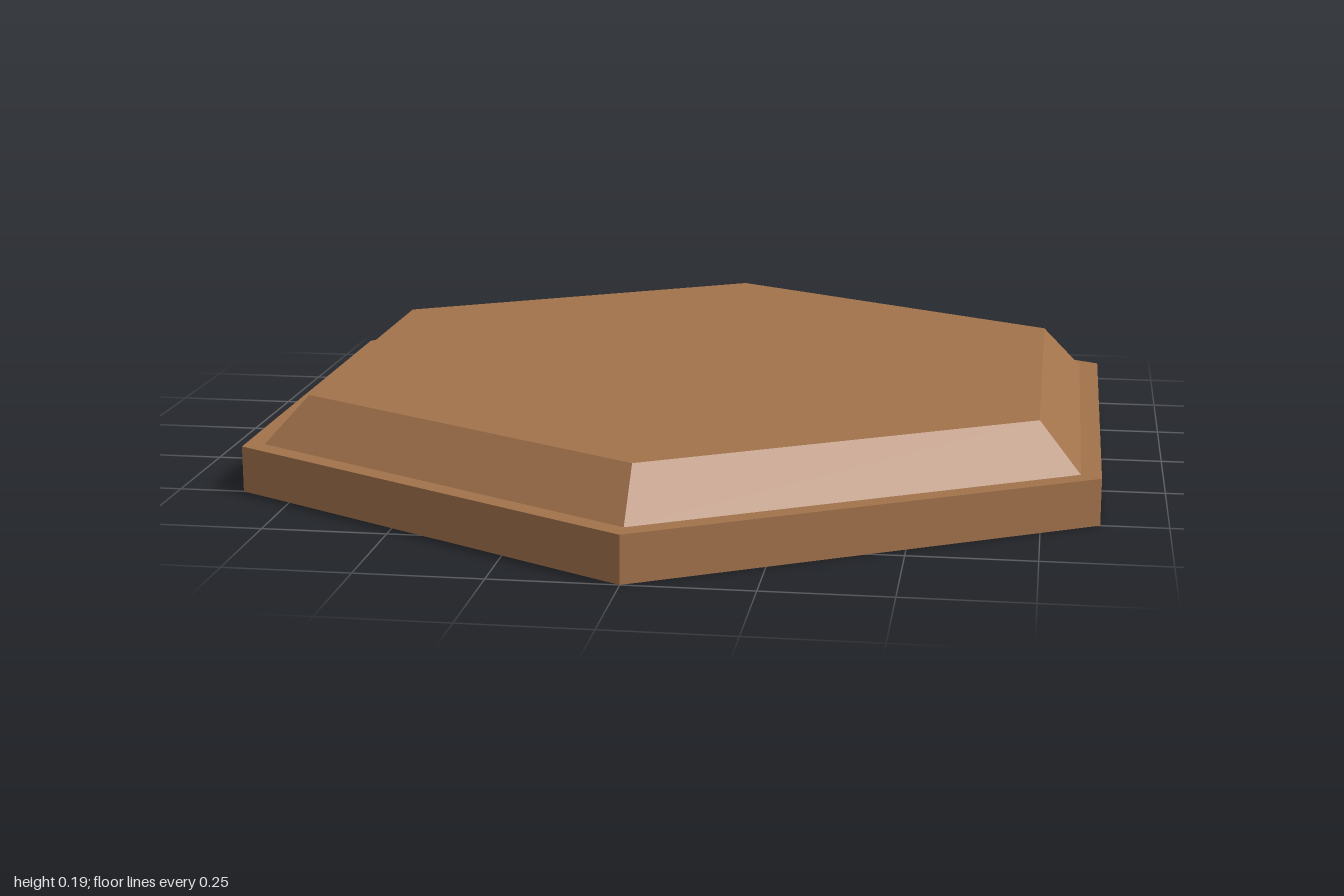
import * as THREE from 'three';

export function createModel() {
  const group = new THREE.Group();
  group.name = 'hexTile';

  const earth = new THREE.MeshStandardMaterial({ color: 0xa3734c, flatShading: true });
  earth.name = 'earth brown';

  // Six-sided slab with corners on the z axis
  function hexSlab(name, topRadius, bottomRadius, y0, y1) {
    const geometry = new THREE.CylinderGeometry(topRadius, bottomRadius, y1 - y0, 6);
    const mesh = new THREE.Mesh(geometry, earth);
    mesh.name = name;
    mesh.position.y = (y0 + y1) / 2;
    group.add(mesh);
  }

  // Straight-sided base
  hexSlab('base', 1, 1, 0, 0.095);
  // Raised top with sloping sides
  hexSlab('bevelledTop', 0.857, 0.953, 0.095, 0.19);

  return group;
}
